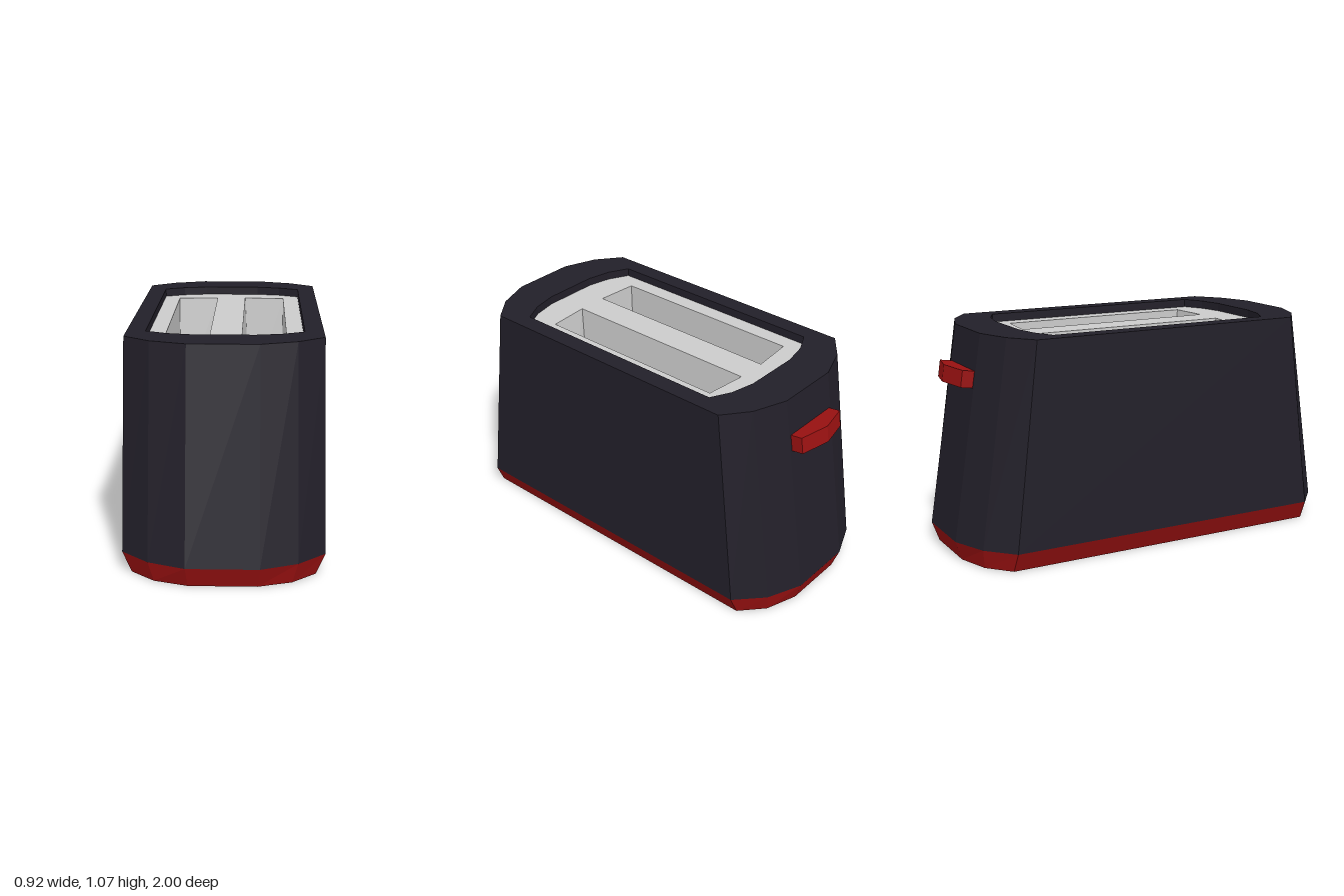
import * as THREE from 'three';

const material = (color, extra = {}) =>
  new THREE.MeshStandardMaterial({ color, flatShading: true, ...extra });

// Full 12-sided outline from a quarter: flat end, bevel, long side; each point is [x, z]
const outline = (quarter) => {
  const back = [...quarter].reverse();
  return [
    ...quarter,
    ...back.map(([x, z]) => [x, -z]),
    ...quarter.map(([x, z]) => [-x, -z]),
    ...back.map(([x, z]) => [-x, z]),
  ];
};

// Skin over layers [y, ring]; optional flat caps on the first and last layer
function loft(layers, capFirst = false, capLast = false) {
  const pos = [];
  const put = (y, [x, z]) => pos.push(x, y, z);
  for (let k = 0; k < layers.length - 1; k++) {
    const [y0, lo] = layers[k];
    const [y1, hi] = layers[k + 1];
    for (let i = 0; i < lo.length; i++) {
      const j = (i + 1) % lo.length;
      put(y0, lo[i]); put(y0, lo[j]); put(y1, hi[j]);
      put(y0, lo[i]); put(y1, hi[j]); put(y1, hi[i]);
    }
  }
  const cap = ([y, ring], flip) => {
    for (let i = 1; i < ring.length - 1; i++) {
      put(y, ring[0]);
      put(y, ring[flip ? i + 1 : i]);
      put(y, ring[flip ? i : i + 1]);
    }
  };
  if (capFirst) cap(layers[0], true);
  if (capLast) cap(layers[layers.length - 1], false);
  const geometry = new THREE.BufferGeometry();
  geometry.setAttribute('position', new THREE.Float32BufferAttribute(pos, 3));
  geometry.computeVertexNormals();
  return geometry;
}

export function createModel() {
  const group = new THREE.Group();
  const dark = material(0x221f29);
  const red = material(0x9a1111);
  const grey = material(0xcccccc);
  const add = (name, geometry, mat) => {
    const mesh = new THREE.Mesh(geometry, mat);
    mesh.name = name;
    group.add(mesh);
    return mesh;
  };

  const baseY = 0.095, topY = 1.07, panelY = 1.03;
  const foot = outline([[0.155, 0.967], [0.31, 0.915], [0.42, 0.815]]);
  const wide = outline([[0.165, 1], [0.335, 0.93], [0.462, 0.81]]);
  const top = outline([[0.16, 0.845], [0.325, 0.785], [0.447, 0.69]]);
  const opening = outline([[0.14, 0.645], [0.26, 0.62], [0.36, 0.57]]);

  // Base tray, flaring upwards
  add('base', loft([[0, foot], [baseY, wide]], true), red);

  // Tapered shell with a flat rim and a short inner lip
  add('shell', loft([[baseY, wide], [topY, top], [topY, opening], [panelY, opening]]), dark);

  // Bread slots: mouth and floor corners, walls facing inwards
  const slots = [
    {
      name: 'leftSlot',
      mouth: [[0.075, 0.49], [0.28, 0.475], [0.28, -0.51], [0.075, -0.53]],
      floor: [[0.1, 0.44], [0.28, 0.41], [0.28, -0.465], [0.1, -0.495]],
    },
    {
      name: 'rightSlot',
      mouth: [[-0.28, 0.475], [-0.075, 0.49], [-0.075, -0.53], [-0.28, -0.51]],
      floor: [[-0.28, 0.46], [-0.1, 0.475], [-0.1, -0.495], [-0.28, -0.465]],
    },
  ];
  const toPlan = (ring) => ring.map(([x, z]) => new THREE.Vector2(x, -z));
  const panel = new THREE.Shape(toPlan(opening));
  for (const { name, mouth, floor } of slots) {
    panel.holes.push(new THREE.Path(toPlan(mouth)));
    add(name, loft([[panelY, mouth], [0.45, floor]], false, true), grey);
  }

  // Recessed top panel, cut by the slots
  const panelGeometry = new THREE.ShapeGeometry(panel).rotateX(-Math.PI / 2);
  add('topPanel', panelGeometry, grey).position.y = panelY;

  // Lever on the back, pointed in plan and tilted with the wall
  const plan = new THREE.Shape(toPlan([
    [-0.15, 0.05], [0.15, 0.05], [0.15, -0.035], [0, -0.07], [-0.15, -0.035],
  ]));
  const leverGeometry = new THREE.ExtrudeGeometry(plan, { depth: 0.08, bevelEnabled: false })
    .rotateX(-Math.PI / 2)
    .translate(0, -0.04, 0);
  const lever = add('lever', leverGeometry, red);
  lever.position.set(0, 0.86, -0.902);
  lever.rotation.x = 0.15;

  return group;
}
